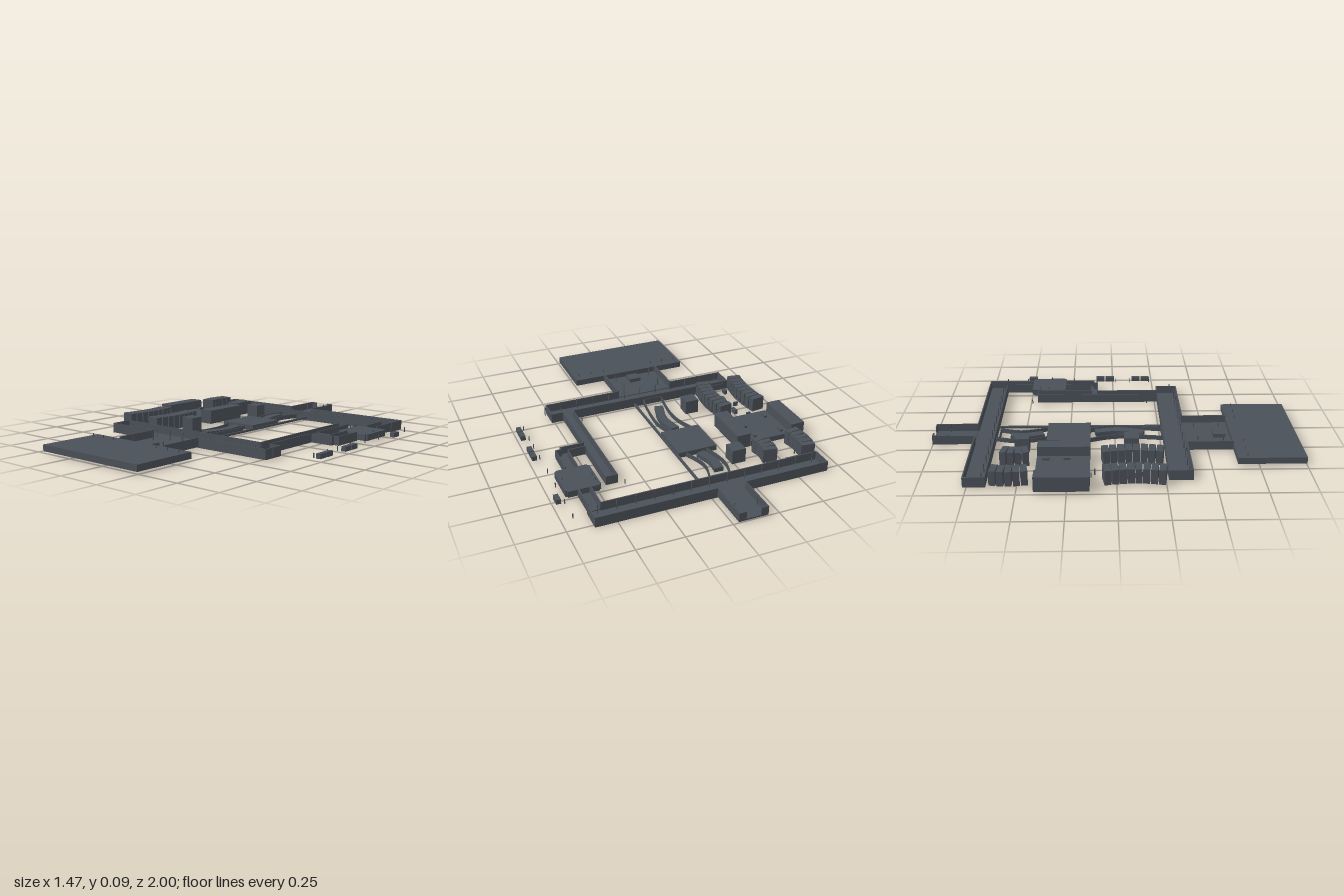
import * as THREE from 'three';

const mat = new THREE.MeshStandardMaterial({ color: 0x4a5058, flatShading: true });
const BASE = 0.01, DECK = 0.045, WALL = 0.055, ROOF = 0.09, T = 0.006;

export function createModel() {
  const root = new THREE.Group();
  root.name = 'districtMap';

  // Box given by its extents on the ground and its bottom and top
  function slab(name, x0, x1, z0, z1, y0, y1, parent = root) {
    const m = new THREE.Mesh(new THREE.BoxGeometry(x1 - x0, y1 - y0, z1 - z0), mat);
    m.position.set((x0 + x1) / 2, (y0 + y1) / 2, (z0 + z1) / 2);
    m.name = name;
    parent.add(m);
    return m;
  }
  const block = (name, x, z, w, d, y0, y1, parent) =>
    slab(name, x - w / 2, x + w / 2, z - d / 2, z + d / 2, y0, y1, parent);

  // Open corridor: thin floor and walls; each side lists its wall intervals
  function corridor(name, x0, x1, z0, z1, walls, y0 = 0.005) {
    const g = new THREE.Group();
    g.name = name;
    root.add(g);
    slab('floor', x0, x1, z0, z1, y0, y0 + 0.008, g);
    const { back = [], front = [], right = [], left = [] } = walls;
    back.forEach(([a, b]) => slab('wall', a, b, z0, z0 + T, y0, WALL, g));
    front.forEach(([a, b]) => slab('wall', a, b, z1 - T, z1, y0, WALL, g));
    right.forEach(([a, b]) => slab('wall', x0, x0 + T, a, b, y0, WALL, g));
    left.forEach(([a, b]) => slab('wall', x1 - T, x1, a, b, y0, WALL, g));
  }

  // Main corridors
  corridor('backCorridor', -0.67, 0.615, -0.77, -0.655, {
    back: [[-0.67, -0.19], [-0.03, 0.615]], front: [[-0.67, 0.545], [0.609, 0.615]],
    right: [[-0.77, -0.655]], left: [[-0.77, -0.655]],
  }, 0);
  corridor('backStub', -0.19, -0.03, -1, -0.77, {
    back: [[-0.19, -0.15], [-0.07, -0.03]], right: [[-1, -0.77]], left: [[-1, -0.77]],
  });
  corridor('frontCorridor', -0.61, 0.515, 0.265, 0.39, {
    back: [[-0.61, 0.385], [0.445, 0.515]], front: [[-0.61, -0.28], [0.063, 0.515]],
    right: [[0.265, 0.39]], left: [[0.265, 0.39]],
  }, 0);
  corridor('entranceHall', -0.28, 0.063, 0.39, 0.64, {
    right: [[0.39, 0.64]], left: [[0.39, 0.64]],
  });
  corridor('sideCorridor', 0.382, 0.448, -0.46, 0.265, {
    back: [[0.382, 0.448]], right: [[-0.46, 0.265]], left: [[-0.46, -0.138], [-0.094, 0.265]],
  });
  corridor('linkCorridor', 0.448, 0.58, -0.138, -0.094, {
    back: [[0.448, 0.545]], front: [[0.448, 0.58]], left: [[-0.115, -0.094]],
  });
  corridor('outerCorridorBack', 0.543, 0.611, -0.655, -0.5, {
    right: [[-0.655, -0.5]], left: [[-0.655, -0.5]],
  });
  corridor('outerCorridorFront', 0.543, 0.611, -0.295, -0.115, {
    right: [[-0.295, -0.138]], left: [[-0.295, -0.115]], front: [[0.575, 0.611]],
  });

  // Side room with notched corners
  const room = new THREE.Shape();
  const [hw, hd, c] = [0.094, 0.103, 0.01];
  [[-hw + c, -hd], [hw - c, -hd], [hw - c, -hd + c], [hw, -hd + c], [hw, hd - c], [hw - c, hd - c],
    [hw - c, hd], [-hw + c, hd], [-hw + c, hd - c], [-hw, hd - c], [-hw, -hd + c], [-hw + c, -hd + c]]
    .forEach(([x, y], i) => (i ? room.lineTo(x, y) : room.moveTo(x, y)));
  const roomGeo = new THREE.ExtrudeGeometry(room, { depth: DECK - BASE, bevelEnabled: false });
  roomGeo.rotateX(-Math.PI / 2);
  const roomMesh = new THREE.Mesh(roomGeo, mat);
  roomMesh.position.set(0.578, BASE, -0.397);
  roomMesh.name = 'sideRoom';
  root.add(roomMesh);

  // Plazas and the hall kiosk
  slab('frontPlaza', -0.46, 0.243, 0.637, 1, BASE, DECK);
  slab('middlePlaza', -0.22, 0.004, -0.375, -0.135, BASE, 0.04);
  slab('leftPlaza', -0.653, -0.411, -0.413, -0.135, BASE, 0.04);
  slab('hallKiosk', -0.145, -0.075, 0.545, 0.612, BASE, 0.035);
  [[-0.617, -0.365], [-0.452, -0.365], [-0.45, -0.255], [-0.612, -0.195]].forEach(([x, z]) =>
    block('plazaBench', x, z, 0.017, 0.037, 0.04, 0.052));

  // Large buildings and cubes
  slab('outerBuilding', -0.74, -0.66, -0.413, -0.135, BASE, ROOF);
  slab('innerBuilding', -0.405, -0.325, -0.413, -0.135, BASE, ROOF);
  [-0.5, 0.087].forEach((z) => block('cubeHouse', -0.27, z, 0.078, 0.078, BASE, ROOF));

  // Rows of houses along gently curved streets
  function houseRow(xMid, z0, z1, n, bow) {
    const pitch = (z1 - z0) / n;
    for (let i = 0; i < n; i++) {
      const t = (i + 0.5) / n;
      const m = block('rowHouse', xMid + bow * (Math.sin(Math.PI * t) - 0.5), z0 + pitch * (i + 0.5),
        0.077, pitch * 0.88, BASE, ROOF);
      m.rotation.y = Math.atan2(bow * Math.PI * Math.cos(Math.PI * t), z1 - z0) * 0.8;
    }
  }
  houseRow(-0.637, -0.635, -0.445, 5, -0.012);
  houseRow(-0.428, -0.6, -0.455, 4, -0.012);
  houseRow(-0.633, -0.07, 0.252, 8, 0.02);
  houseRow(-0.42, -0.075, 0.25, 8, 0.02);

  // Curved strip with thickness, swept along ground points
  function strip(name, pts, width, y1) {
    const curve = new THREE.CatmullRomCurve3(pts.map(([x, z]) => new THREE.Vector3(x, 0, z)));
    const a = [], b = [], n = 14;
    for (let i = 0; i <= n; i++) {
      const p = curve.getPoint(i / n), t = curve.getTangent(i / n);
      a.push(new THREE.Vector2(p.x - t.z * width / 2, -(p.z + t.x * width / 2)));
      b.unshift(new THREE.Vector2(p.x + t.z * width / 2, -(p.z - t.x * width / 2)));
    }
    const geo = new THREE.ExtrudeGeometry(new THREE.Shape([...a, ...b]), { depth: y1 - BASE, bevelEnabled: false });
    geo.rotateX(-Math.PI / 2);
    const m = new THREE.Mesh(geo, mat);
    m.position.y = BASE;
    m.name = name;
    root.add(m);
  }
  strip('canalWall', [[-0.165, -0.655], [-0.192, -0.54], [-0.185, -0.46], [-0.16, -0.375]], 0.005, 0.035);
  strip('canalWall', [[-0.055, -0.635], [-0.082, -0.53], [-0.07, -0.45], [-0.04, -0.375]], 0.005, 0.035);
  strip('canalWall', [[-0.185, -0.135], [-0.15, -0.03], [-0.142, 0.07], [-0.165, 0.265]], 0.005, 0.035);
  strip('canalWall', [[-0.06, -0.135], [-0.025, -0.03], [-0.028, 0.09], [-0.052, 0.265]], 0.005, 0.035);
  strip('canalIsland', [[-0.135, -0.575], [-0.14, -0.5], [-0.112, -0.395]], 0.05, 0.035);
  strip('canalIsland', [[-0.092, -0.11], [-0.073, 0.02], [-0.107, 0.16]], 0.05, 0.035);

  // Long divider and thin gates
  slab('divider', -0.001, 0.01, -0.655, 0.265, BASE, 0.022);
  [[-0.11, -0.635, 0.11], [-0.11, 0.26, 0.11], [-0.53, 0.262, 0.1], [-0.532, -0.633, 0.075]].forEach(([x, z, w]) =>
    block('gate', x, z, w, 0.004, BASE, 0.04));

  // Small stalls in the left court and along the outer road
  [[-0.502, -0.043, 0.017, 0.04], [-0.503, 0.105, 0.017, 0.04], [-0.558, 0.197, 0.016, 0.036],
    [-0.545, 0.03, 0.028, 0.009], [-0.556, -0.11, 0.026, 0.008]].forEach(([x, z, w, d]) =>
    block('stall', x, z, w, d, BASE, 0.035));
  [-0.508, -0.078, -0.018, 0.148, 0.207].forEach((z) =>
    block('roadStall', 0.721, z, 0.026, 0.053, BASE, 0.036));

  // Lamp posts
  const postGeo = new THREE.CylinderGeometry(0.003, 0.003, 1, 6);
  function post(x, z, y0, y1) {
    const m = new THREE.Mesh(postGeo, mat);
    m.scale.y = y1 - y0;
    m.position.set(x, (y0 + y1) / 2, z);
    m.name = 'lampPost';
    root.add(m);
  }
  for (let i = 0; i < 12; i++) post(-0.57 + i * 0.1, 0.37 - (i === 11 ? 0.02 : 0), 0.01, 0.06) ;
  for (let i = 0; i < 13; i++) post(-0.63 + i * 0.1, -0.678, 0.01, 0.06);
  [-0.43, -0.35, -0.27, 0.05, 0.13, 0.21].forEach((x) => post(x, 0.69, DECK, 0.062));
  [-0.22, 0].forEach((x) => [0.45, 0.59].forEach((z) => post(x, z, 0.01, 0.06)));
  [-0.17, -0.045].forEach((x) => post(x, -0.92, 0.01, 0.06));
  [-0.67, -0.54, -0.385, -0.245, -0.1, 0.02, 0.11, 0.23].forEach((z) => post(0.692, z, BASE, 0.036));
  [-0.49, 0.2].forEach((z) => post(0.355, z, BASE, 0.036));
  [[0.5, -0.45], [0.655, -0.385], [0.5, -0.4]].forEach(([x, z]) => post(x, z, DECK, 0.06));
  [-0.57, -0.13, 0.13].forEach((z) => post(-0.59, z, BASE, 0.036));
  return root;
}
